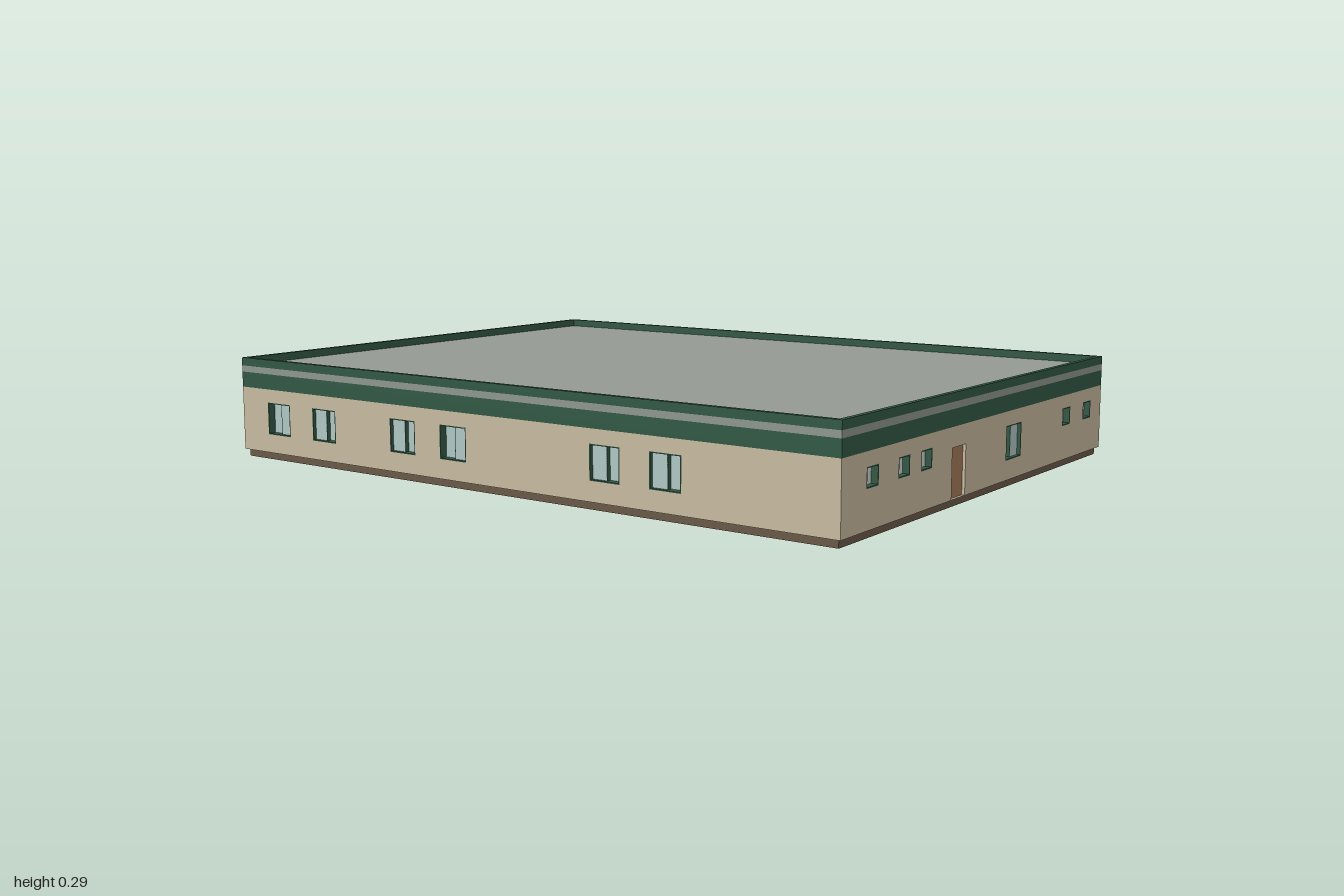
import * as THREE from 'three';

const HX = 1, HZ = 0.75;            // half width and depth
const BASE = 0.022, EAVE = 0.205, TOP = 0.29;
const WALL_T = 0.04;

const paint = (color) => new THREE.MeshStandardMaterial({ color });
const MAT = {
  wall: paint(0xc8baa0), plinth: paint(0x6a5a48), green: paint(0x335845),
  stripe: paint(0x8f978f), roof: paint(0x959b94), glass: paint(0xb0c9c5),
  frosted: paint(0xcfd6d4), door: paint(0xa67c58),
};

function box(parent, name, mat, w, h, d, x, y, z) {
  const mesh = new THREE.Mesh(new THREE.BoxGeometry(w, h, d), mat);
  mesh.name = name;
  mesh.position.set(x, y, z);
  parent.add(mesh);
  return mesh;
}

// Opening kinds: width, bottom, top
const KINDS = {
  large: { w: 0.094, y0: 0.075, y1: 0.167 },
  small: { w: 0.056, y0: 0.119, y1: 0.169 },
  door: { w: 0.074, y0: BASE + 0.001, y1: 0.153 },
};

// Rectangular ring, extruded from z = -depth to z = 0
function ring(w, h, t, depth) {
  const s = new THREE.Shape();
  s.moveTo(-w / 2, -h / 2).lineTo(w / 2, -h / 2).lineTo(w / 2, h / 2).lineTo(-w / 2, h / 2).closePath();
  const p = new THREE.Path();
  const a = w / 2 - t, b = h / 2 - t;
  p.moveTo(-a, -b).lineTo(-a, b).lineTo(a, b).lineTo(a, -b).closePath();
  s.holes.push(p);
  return new THREE.ExtrudeGeometry(s, { depth, bevelEnabled: false }).translate(0, 0, -depth);
}

// Window set back in the wall; sliding panes sit at two depths
function makeWindow(kind, flip) {
  const { w, y0, y1 } = KINDS[kind];
  const h = y1 - y0;
  const g = new THREE.Group();
  g.name = kind + 'Window';
  const frame = new THREE.Mesh(ring(w, h, 0.003, 0.034), MAT.green);
  frame.name = 'windowFrame';
  g.add(frame);
  if (kind === 'small') {
    box(g, 'pane', MAT.frosted, w - 0.006, h - 0.006, 0.004, 0, 0, -0.02);
  } else {
    const pw = w / 2 - 0.003, s = flip ? -1 : 1;
    box(g, 'frontPane', MAT.glass, pw, h - 0.006, 0.004, -s * pw / 2, 0, -0.012);
    box(g, 'rearPane', MAT.glass, pw, h - 0.006, 0.004, s * pw / 2, 0, -0.024);
    box(g, 'mullion', MAT.green, 0.002, h - 0.006, 0.018, 0, 0, -0.019);
  }
  g.position.y = (y0 + y1) / 2;
  return g;
}

function makeDoor() {
  const { w, y0, y1 } = KINDS.door;
  const g = new THREE.Group();
  g.name = 'door';
  box(g, 'doorLeaf', MAT.door, w, y1 - y0, 0.02, 0, 0, -0.018);
  g.position.y = (y0 + y1) / 2;
  return g;
}

// Wall panel facing local +z with openings cut through: [kind, position, flipped]
function makeWall(name, length, openings) {
  const g = new THREE.Group();
  g.name = name;
  const L = length / 2;
  const s = new THREE.Shape();
  s.moveTo(-L, BASE).lineTo(L, BASE).lineTo(L, EAVE).lineTo(-L, EAVE).closePath();
  for (const [kind, u, flip] of openings) {
    const { w, y0, y1 } = KINDS[kind];
    const p = new THREE.Path();
    p.moveTo(u - w / 2, y0).lineTo(u - w / 2, y1).lineTo(u + w / 2, y1).lineTo(u + w / 2, y0).closePath();
    s.holes.push(p);
    const part = kind === 'door' ? makeDoor() : makeWindow(kind, flip);
    part.position.x = u;
    g.add(part);
  }
  const geo = new THREE.ExtrudeGeometry(s, { depth: WALL_T, bevelEnabled: false }).translate(0, 0, -WALL_T);
  const mesh = new THREE.Mesh(geo, MAT.wall);
  mesh.name = 'wallPanel';
  g.add(mesh);
  return g;
}

// Horizontal band running round the building
function makeBand(name, mat, y0, y1, t) {
  const geo = ring(2 * HX, 2 * HZ, t, y1 - y0).rotateX(-Math.PI / 2).translate(0, y1, 0);
  const mesh = new THREE.Mesh(geo, mat);
  mesh.name = name;
  return mesh;
}

export function createModel() {
  const model = new THREE.Group();
  model.name = 'flatRoofedBuilding';

  // Plinth and the two small panels let into its underside
  box(model, 'plinth', MAT.plinth, 2 * HX - 0.02, BASE - 0.001, 2 * HZ - 0.02, 0, (BASE + 0.001) / 2, 0);
  box(model, 'floorPanelLarge', MAT.door, 0.16, 0.002, 0.23, -0.04, 0.001, -0.12);
  box(model, 'floorPanelSmall', MAT.stripe, 0.1, 0.002, 0.12, 0.18, 0.001, -0.2);
  // Walls' underside
  box(model, 'floorSlab', MAT.plinth, 2 * HX - 0.06, 0.01, 2 * HZ - 0.06, 0, BASE + 0.004, 0);

  // Walls
  const front = makeWall('frontWall', 2 * HX, [
    ['large', -0.846, true], ['large', -0.658], ['large', -0.35],
    ['large', -0.165, true], ['large', 0.34], ['large', 0.523],
  ]);
  front.position.z = HZ;

  const back = makeWall('backWall', 2 * HX, [
    ['small', -0.727], ['small', -0.514], ['large', -0.28, true],
    ['large', 0.247, true], ['large', 0.432],
  ]);
  back.position.z = -HZ;
  back.rotation.y = Math.PI;

  const sideLength = 2 * HZ - 2 * WALL_T;
  const left = makeWall('leftWall', sideLength, [
    ['small', -0.61], ['small', -0.46], ['small', -0.347], ['door', -0.175],
    ['large', 0.147, true], ['small', 0.496], ['small', 0.645],
  ]);
  left.position.x = HX;
  left.rotation.y = Math.PI / 2;

  const right = makeWall('rightWall', sideLength, [['large', -0.193], ['large', 0]]);
  right.position.x = -HX;
  right.rotation.y = -Math.PI / 2;
  model.add(front, back, left, right);

  // Striped fascia with a low parapet round the roof
  model.add(
    makeBand('lowerFascia', MAT.green, EAVE, 0.249, 0.014),
    makeBand('fasciaStripe', MAT.stripe, 0.249, 0.267, 0.014),
    makeBand('parapet', MAT.green, 0.267, TOP, 0.014),
  );
  box(model, 'roof', MAT.roof, 2 * HX - 0.028, 0.268 - EAVE, 2 * HZ - 0.028, 0, (0.268 + EAVE) / 2, 0);

  return model;
}
